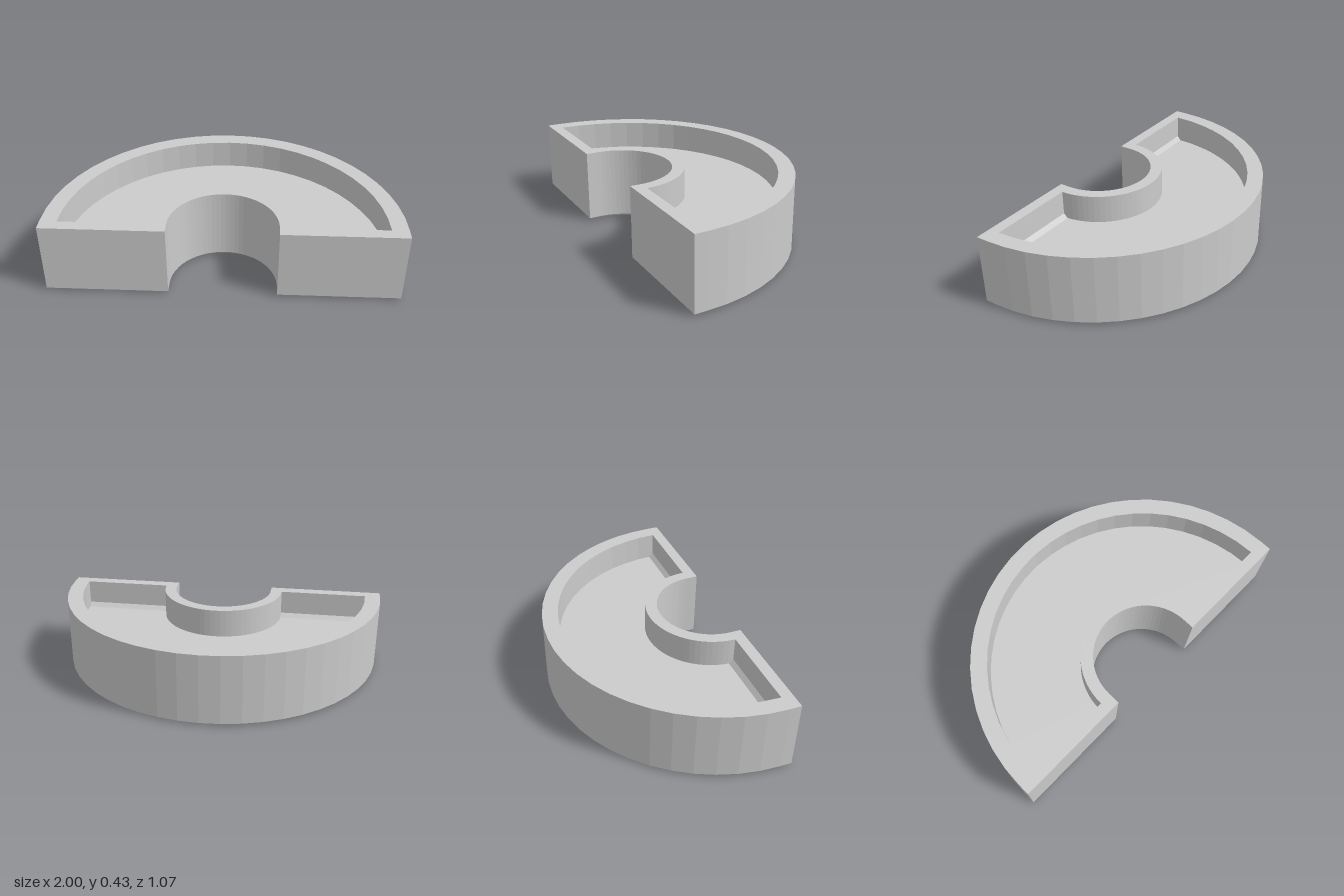
import * as THREE from 'three';

const CZ = 0.465; // z of the common arc centre
const HEIGHT = 0.43, FLOOR = 0.26, CHAMFER = 0.012;
const material = new THREE.MeshStandardMaterial({ color: 0xcccccc, flatShading: true });

// Half-ring outline as [x, z] points, counter-clockwise seen from above
function outline(R, r, front) {
  const pts = [];
  const arc = (rad, n, reverse) => {
    for (let i = 0; i <= n; i++) {
      const t = Math.PI * (reverse ? 1 - i / n : i / n);
      pts.push([rad * Math.cos(t), CZ - rad * Math.sin(t)]);
    }
  };
  const straight = front > CZ + 0.001;
  if (straight) pts.push([R, front]);
  arc(R, 26, false);
  if (straight) pts.push([-R, front], [-r, front]);
  arc(r, 36, true);
  if (straight) pts.push([r, front]);
  return pts;
}

// Vertical walls through stacked outlines of equal point count
function walls(levels, inward = false) {
  const pos = [];
  for (let k = 0; k + 1 < levels.length; k++) {
    const [lo, y0] = levels[k], [hi, y1] = levels[k + 1];
    lo.forEach((p, i) => {
      const j = (i + 1) % lo.length;
      const a = [p[0], y0, p[1]], b = [lo[j][0], y0, lo[j][1]];
      const c = [hi[j][0], y1, hi[j][1]], d = [hi[i][0], y1, hi[i][1]];
      const quad = inward ? [a, c, b, a, d, c] : [a, b, c, a, c, d];
      pos.push(...quad.flat());
    });
  }
  const g = new THREE.BufferGeometry();
  g.setAttribute('position', new THREE.Float32BufferAttribute(pos, 3));
  g.computeVertexNormals();
  return g;
}

// Flat horizontal face filling an outline, optionally with a hole
function cap(pts, y, up, hole) {
  const s = up ? -1 : 1;
  const to2D = (list) => list.map(([x, z]) => new THREE.Vector2(x, s * z));
  const shape = new THREE.Shape(to2D(pts));
  if (hole) shape.holes.push(new THREE.Path(to2D(hole)));
  return new THREE.ShapeGeometry(shape).rotateX((s * Math.PI) / 2).translate(0, y, 0);
}

export function createModel() {
  const group = new THREE.Group();
  const add = (name, geometry) => {
    const mesh = new THREE.Mesh(geometry, material);
    mesh.name = name;
    group.add(mesh);
  };

  const outer = outline(1, 0.307, 0.532);
  const foot = outline(1 - CHAMFER, 0.307 + CHAMFER, 0.532 - CHAMFER);
  const cavity = outline(0.905, 0.378, CZ);

  // Outer shell with a small chamfer around the base
  add('outerWall', walls([[foot, 0], [outer, CHAMFER], [outer, HEIGHT]]));
  add('underside', cap(foot, 0, false));
  add('rim', cap(outer, HEIGHT, true, cavity));

  // Recessed tray
  add('cavityWall', walls([[cavity, FLOOR], [cavity, HEIGHT]], true));
  add('trayFloor', cap(cavity, FLOOR, true));

  // Sloped fillets where the floor meets the two front walls
  const wedge = new THREE.Shape([
    new THREE.Vector2(CZ - 0.025, FLOOR),
    new THREE.Vector2(CZ, FLOOR),
    new THREE.Vector2(CZ, FLOOR + 0.025),
  ]);
  for (const [name, x] of [['leftFillet', 0.905], ['rightFillet', -0.378]]) {
    const g = new THREE.ExtrudeGeometry(wedge, { depth: 0.527, bevelEnabled: false });
    add(name, g.rotateY(-Math.PI / 2).translate(x, 0, 0));
  }
  return group;
}
